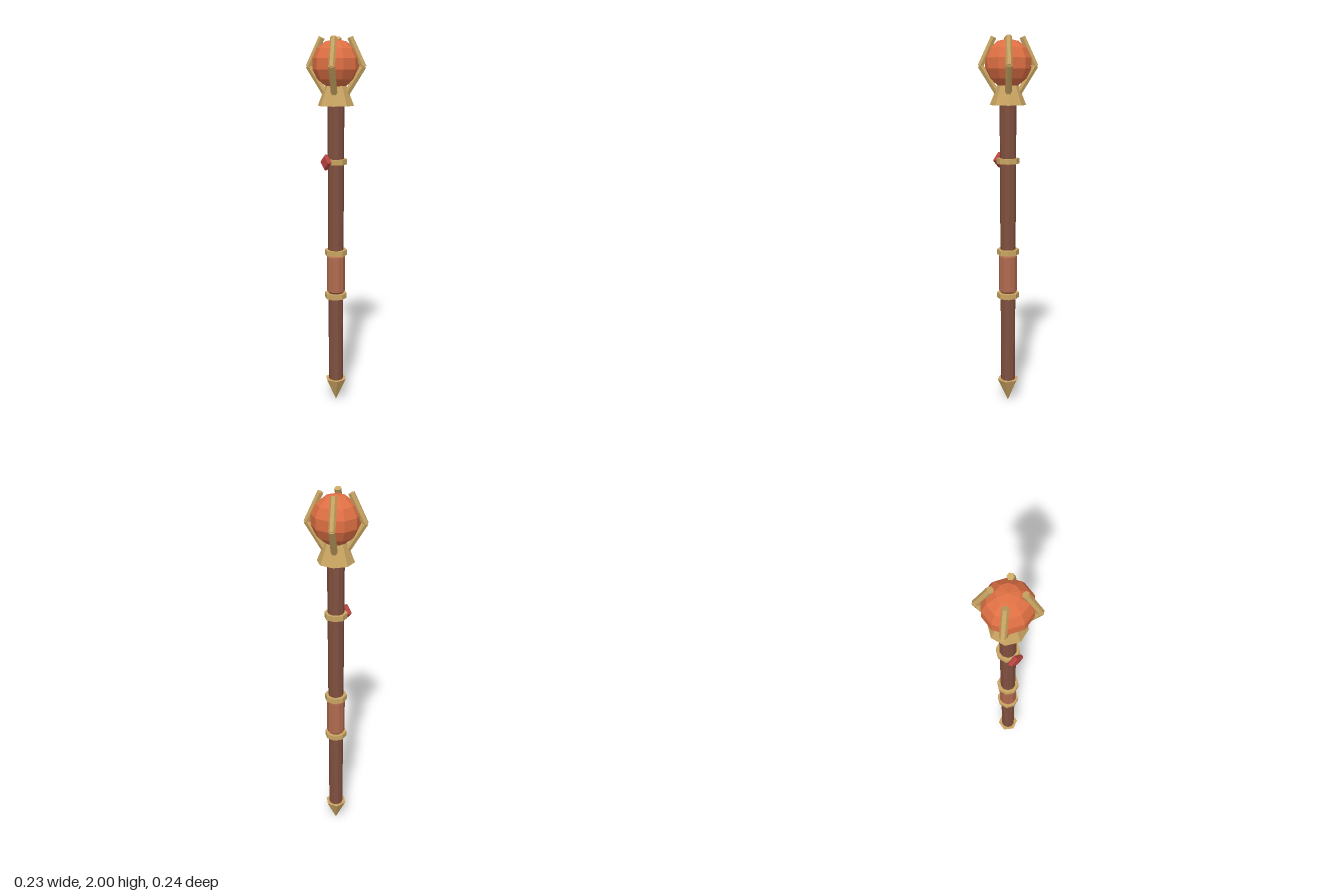
import * as THREE from 'three';

const mat = (name, color) => {
  const m = new THREE.MeshStandardMaterial({ color, flatShading: true });
  m.name = name;
  return m;
};

export function createModel() {
  const group = new THREE.Group();
  const gold = mat('gold', 0xcaa562);
  const darkWood = mat('dark wood', 0x80503e);
  const leather = mat('grip leather', 0xb16a4e);
  const orange = mat('orange crystal', 0xdf7044);
  const red = mat('red gem', 0xb8443f);

  const add = (name, geometry, material, y = 0, parent = group) => {
    const mesh = new THREE.Mesh(geometry, material);
    mesh.name = name;
    mesh.position.y = y;
    parent.add(mesh);
    return mesh;
  };

  // Tapered rod with small bevels at both ends
  const bevelRod = (r0, r1, y0, y1, b = 0.008) => new THREE.LatheGeometry([
    [0, y0], [r0 - b, y0], [r0, y0 + b], [r1, y1 - b], [r1 - b, y1], [0, y1],
  ].map(([r, y]) => new THREE.Vector2(r, y)), 10);

  // Hexagonal bar between two points
  const up = new THREE.Vector3(0, 1, 0);
  const bar = (name, a, b, r, parent) => {
    const dir = b.clone().sub(a);
    const mesh = add(name, new THREE.CylinderGeometry(r, r, dir.length(), 6), gold, 0, parent);
    mesh.position.copy(a).add(b).multiplyScalar(0.5);
    mesh.quaternion.setFromUnitVectors(up, dir.normalize());
  };

  // Shaft, grip and foot spike
  add('shaft', bevelRod(0.039, 0.044, 0.12, 1.66), darkWood);
  add('grip', bevelRod(0.049, 0.049, 0.64, 0.85), leather);
  add('footSpike', new THREE.CylinderGeometry(0.06, 0, 0.13, 6), gold, 0.065);

  // Collar rings
  for (const y of [0.623, 0.867, 1.36]) {
    add('collarRing', new THREE.CylinderGeometry(0.06, 0.06, 0.028, 8), gold, y);
  }

  // Diamond-set gem on the upper collar
  const s = 0.034;
  const diamond = new THREE.Shape([[s, 0], [0, s], [-s, 0], [0, -s]].map(([x, y]) => new THREE.Vector2(x, y)));
  const gem = add('gem', new THREE.ExtrudeGeometry(diamond, {
    depth: 0.013, bevelEnabled: true, bevelSize: 0.005, bevelThickness: 0.006, bevelSegments: 1,
  }), red, 1.36);
  gem.position.z = 0.057;

  // Socket and orb
  add('socket', new THREE.CylinderGeometry(0.055, 0.095, 0.1, 8), gold, 1.7);
  add('orb', new THREE.SphereGeometry(0.123, 10, 7).rotateY(Math.PI / 2), orange, 1.861);

  // Four bent claws around the orb
  for (let i = 0; i < 4; i++) {
    const claw = new THREE.Group();
    claw.name = 'claw';
    claw.rotation.y = Math.PI / 4 + i * Math.PI / 2;
    bar('lowerClaw', new THREE.Vector3(0.055, 1.71, 0), new THREE.Vector3(0.142, 1.85, 0), 0.017, claw);
    bar('upperClaw', new THREE.Vector3(0.142, 1.845, 0), new THREE.Vector3(0.073, 1.991, 0), 0.017, claw);
    group.add(claw);
  }
  return group;
}
